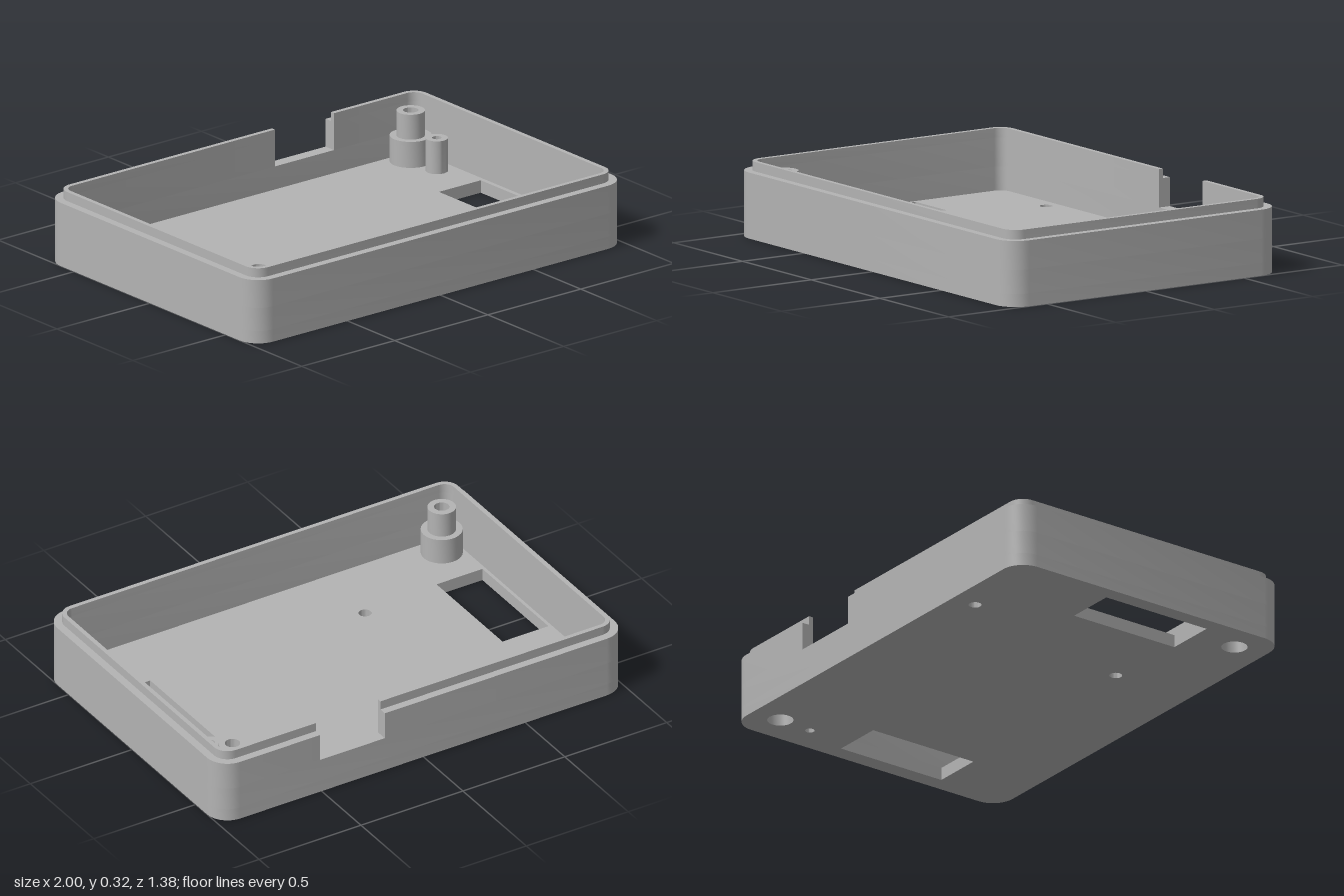
import * as THREE from 'three';
import { toCreasedNormals } from 'three/addons/utils/BufferGeometryUtils.js';

// Main sizes: half widths, corner radius
const OUTER = [1, 0.69, 0.1];
const LIP = [0.965, 0.655, 0.065];
const INNER = [0.945, 0.635, 0.045];
// Heights
const FLOOR = 0.055, SILL = 0.157, RIM = 0.28, TOP = 0.32;
// Cable notch in the back wall
const NOTCH = [0.19, 0.507];

const v2 = (x, y) => new THREE.Vector2(x, y);

// Rounded rectangle, counterclockwise from the back right corner (shape y = -z)
function roundedPoints([hx, hz, r]) {
  const pts = [];
  [[-1, 1, 90], [-1, -1, 180], [1, -1, 270], [1, 1, 0]].forEach(([sx, sz, start]) => {
    for (let i = 0; i <= 10; i++) {
      const a = THREE.MathUtils.degToRad(start + i * 9);
      pts.push(v2(sx * (hx - r) + r * Math.cos(a), sz * (hz - r) + r * Math.sin(a)));
    }
  });
  return pts;
}

// Closed ring between two rounded rectangles
function ring(a, b) {
  const s = new THREE.Shape(roundedPoints(a));
  s.holes.push(new THREE.Path(roundedPoints(b)));
  return s;
}

// The same ring, interrupted by the notch
function notchedRing(a, b) {
  const [x0, x1] = NOTCH;
  return new THREE.Shape([
    v2(x0, a[1]), ...roundedPoints(a), v2(x1, a[1]),
    v2(x1, b[1]), ...roundedPoints(b).reverse(), v2(x0, b[1]),
  ]);
}

const rectPoints = (x0, x1, y0, y1) => [v2(x0, y0), v2(x1, y0), v2(x1, y1), v2(x0, y1)];
const rectHole = (x0, x1, z0, z1) => new THREE.Path(rectPoints(x0, x1, -z1, -z0));
const roundHole = (x, z, r) =>
  new THREE.Path(Array.from({ length: 32 }, (_, i) => {
    const a = (i / 32) * Math.PI * 2;
    return v2(x + r * Math.cos(a), -z + r * Math.sin(a));
  }));

// Vertical sides of a shape, without its caps
function sides(shape, y0, y1) {
  const full = new THREE.ExtrudeGeometry(shape, { depth: y1 - y0, bevelEnabled: false });
  const { start, count } = full.groups[1];
  const geo = new THREE.BufferGeometry();
  const pos = full.attributes.position.array.slice(start * 3, (start + count) * 3);
  geo.setAttribute('position', new THREE.BufferAttribute(pos, 3));
  geo.rotateX(-Math.PI / 2).translate(0, y0, 0);
  return toCreasedNormals(geo, 0.6);
}

// Flat face of a shape, looking up or down
function cap(shape, y, down = false) {
  const geo = new THREE.ShapeGeometry(shape).rotateX(-Math.PI / 2).translate(0, y, 0);
  if (down) {
    geo.setIndex(Array.from(geo.index.array).reverse());
    geo.computeVertexNormals();
  }
  return geo;
}

export function createModel() {
  const model = new THREE.Group();
  model.name = 'enclosureBase';
  const plastic = new THREE.MeshStandardMaterial({ color: 0xb3b3b3 });
  plastic.name = 'grey plastic';

  const part = (name, ...geometries) => {
    const group = new THREE.Group();
    group.name = name;
    geometries.forEach((g) => {
      const mesh = new THREE.Mesh(g, plastic);
      mesh.name = name;
      group.add(mesh);
    });
    model.add(group);
    return group;
  };

  // Floor with two rectangular openings, two pilot holes and the boss bores
  const cutouts = [
    rectHole(-0.93, -0.705, -0.18, 0.34),
    rectHole(0.7, 0.925, -0.18, 0.34),
    roundHole(-0.545, -0.575, 0.027),
    roundHole(-0.335, 0.31, 0.027),
  ];
  const screwBosses = [[0.85, -0.55], [-0.855, 0.54]];
  const pinBoss = [0.86, -0.39];
  const bores = [
    ...screwBosses.map(([x, z]) => roundHole(x, z, 0.055)),
    roundHole(...pinBoss, 0.02),
  ];
  const plate = (size, holes) => {
    const s = new THREE.Shape(roundedPoints(size));
    s.holes.push(...holes);
    return s;
  };
  part('floor',
    cap(plate(OUTER, [...cutouts, ...bores]), 0, true),
    cap(plate(INNER, [...cutouts, ...bores]), FLOOR),
    sides(plate(OUTER, cutouts), 0, FLOOR));

  // Outer wall, closed below the notch and open above it
  part('wall',
    sides(ring(OUTER, INNER), FLOOR, SILL),
    sides(notchedRing(OUTER, INNER), SILL, RIM),
    cap(notchedRing(OUTER, LIP), RIM));
  part('notchSill', cap(new THREE.Shape(rectPoints(...NOTCH, INNER[1], OUTER[1])), SILL));

  // Thin locating lip on top of the wall
  part('lip',
    sides(notchedRing(LIP, INNER), RIM, TOP),
    cap(notchedRing(LIP, INNER), TOP));

  // Hollow bosses, turned from a profile of [radius, height]
  const boss = (name, [x, z], profile) => {
    const lathe = new THREE.LatheGeometry(profile.map(([r, y]) => v2(r, y)), 32);
    part(name, toCreasedNormals(lathe, 0.6)).position.set(x, 0, z);
  };
  screwBosses.forEach((at) => boss('screwBoss', at, [
    [0.088, FLOOR], [0.088, 0.17], [0.06, 0.17], [0.06, 0.28],
    [0.032, 0.28], [0.032, 0.13], [0.055, 0.13], [0.055, 0],
  ]));
  boss('pinBoss', pinBoss, [[0.047, FLOOR], [0.047, 0.2], [0.02, 0.2], [0.02, 0]]);

  return model;
}
